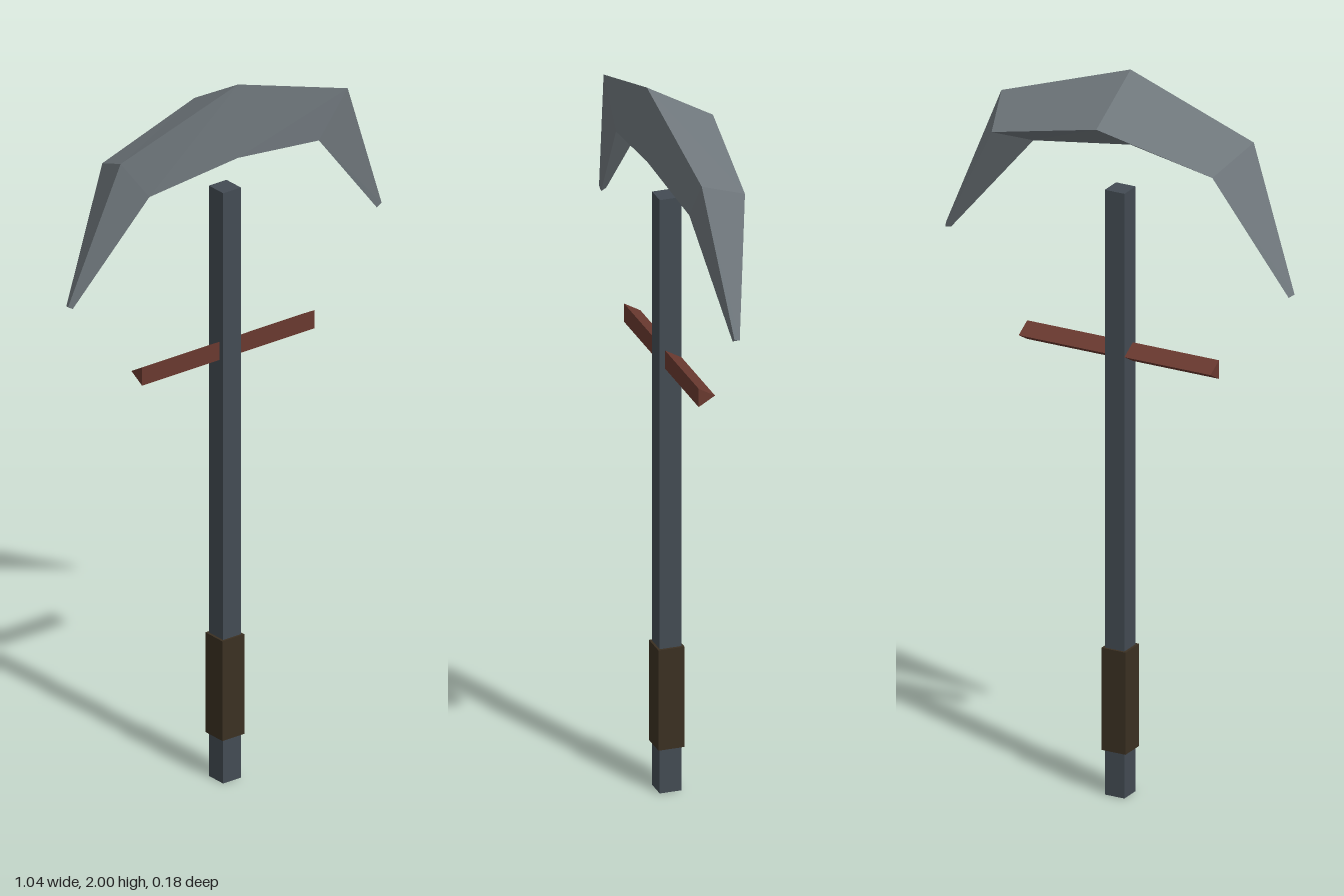
import * as THREE from 'three';

const flat = (name, color) => {
  const m = new THREE.MeshStandardMaterial({ color, flatShading: true });
  m.name = name;
  return m;
};

// Closed triangular bar lofted through rings of [top front, bottom front, back] points
function loftBlade(rings) {
  const pos = [];
  const tri = (a, b, c) => pos.push(...a, ...b, ...c);
  for (let i = 0; i < rings.length - 1; i++) {
    const p = rings[i], q = rings[i + 1];
    for (let k = 0; k < 3; k++) {
      const n = (k + 1) % 3;
      tri(p[n], q[n], q[k]);
      tri(p[n], q[k], p[k]);
    }
  }
  const first = rings[0], last = rings[rings.length - 1];
  tri(first[2], first[1], first[0]);
  tri(last[0], last[1], last[2]);
  const geo = new THREE.BufferGeometry();
  geo.setAttribute('position', new THREE.Float32BufferAttribute(pos, 3));
  geo.computeVertexNormals();
  return geo;
}

export function createModel() {
  const group = new THREE.Group();
  const steel = flat('blade steel', 0x70787d);
  const iron = flat('shaft iron', 0x434b53);
  const rust = flat('guard red', 0x69392f);
  const leather = flat('grip leather', 0x3b3022);
  const axisZ = 0.035;

  const add = (name, geo, mat, y, z = axisZ) => {
    const mesh = new THREE.Mesh(geo, mat);
    mesh.name = name;
    mesh.position.set(0, y, z);
    group.add(mesh);
  };

  // Square shaft and wrapped grip
  add('shaft', new THREE.BoxGeometry(0.058, 1.688, 0.06), iron, 0.844);
  add('grip', new THREE.BoxGeometry(0.072, 0.285, 0.072), leather, 0.268);

  // Three-sided crossguard with its ridge to the back
  const guard = new THREE.CylinderGeometry(0.03, 0.03, 0.57, 3);
  guard.rotateY(Math.PI).rotateZ(Math.PI / 2);
  add('crossguard', guard, rust, 1.232);

  // Curved blade: half profile from centre to tip, mirrored in x
  const centre = [[0, 2, 0.09], [0, 1.79, 0.09], [0, 1.895, -0.092]];
  const shoulder = [[0.375, 1.875, 0.074], [0.28, 1.753, 0.074], [0.328, 1.814, -0.062]];
  const tip = [[0.518, 1.492, 0.035], [0.502, 1.483, 0.035], [0.51, 1.487, 0.018]];
  const mirror = (ring) => ring.map(([x, y, z]) => [-x, y, z]);
  add('blade', loftBlade([mirror(tip), mirror(shoulder), centre, shoulder, tip]), steel, 0, 0);

  return group;
}
